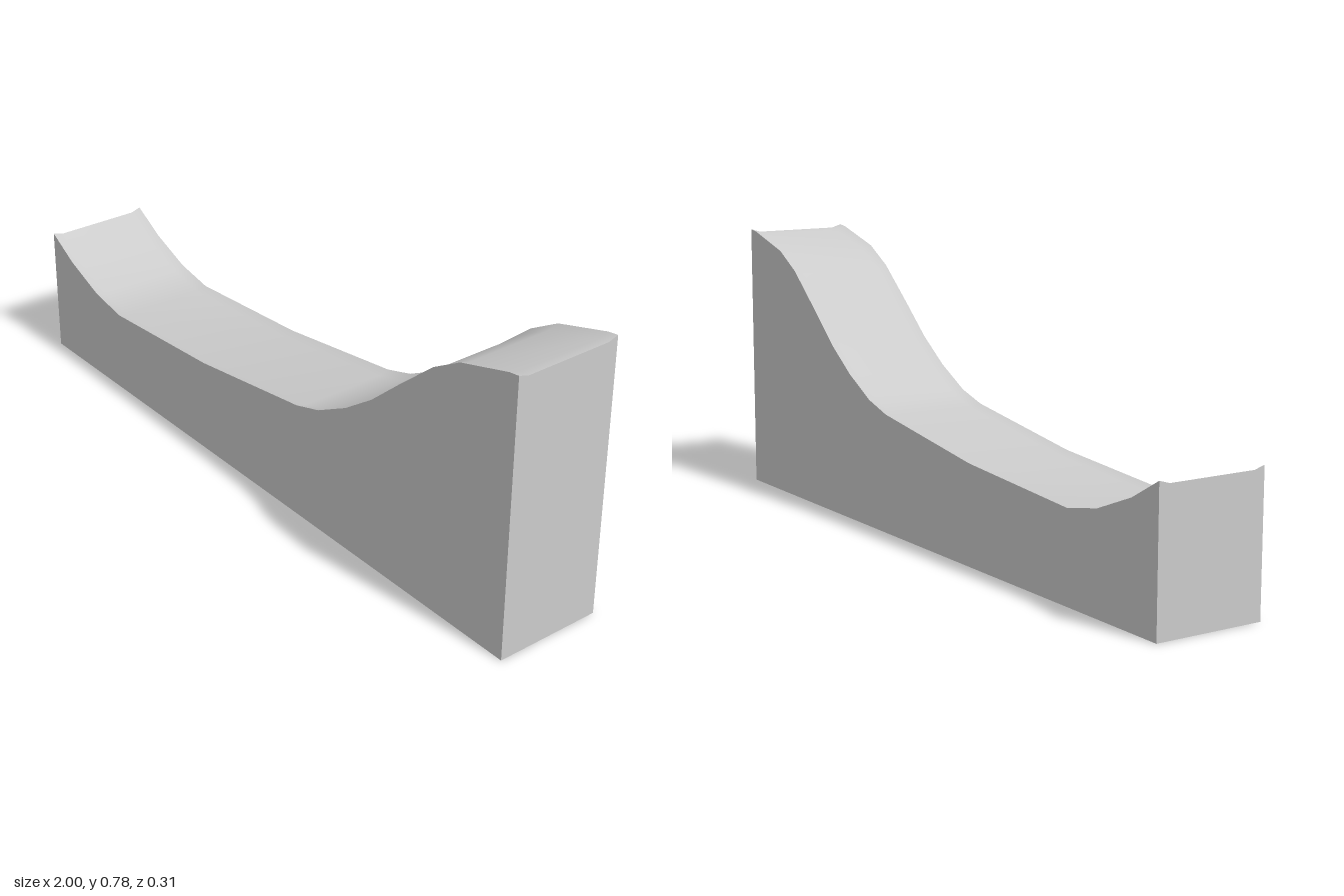
import * as THREE from 'three';

// Outline of the rim along the length: [x, height]
const PROFILE = [
  [-1, 0.378], [-0.9, 0.32], [-0.77, 0.268], [-0.65, 0.245], [-0.22, 0.275],
  [0.2, 0.335], [0.29, 0.362], [0.4, 0.42], [0.5, 0.49], [0.6, 0.578],
  [0.72, 0.68], [0.81, 0.732], [0.97, 0.778], [1, 0.782],
];
// Shallow channel across the width: [z, drop below the rim]
const CHANNEL = [[-0.155, 0], [-0.125, 0.009], [0.125, 0.009], [0.155, 0]];
const HALF = 0.155;

// Smooth surface through rows of points; it faces (along row) x (row to row)
function sheet(name, rows, material) {
  const n = rows[0].length;
  const index = [];
  for (let i = 0; i < rows.length - 1; i++) {
    for (let j = 0; j < n - 1; j++) {
      const a = i * n + j, b = a + 1, c = a + n, d = c + 1;
      index.push(a, b, c, b, d, c);
    }
  }
  const geometry = new THREE.BufferGeometry();
  geometry.setAttribute('position', new THREE.Float32BufferAttribute(rows.flat(2), 3));
  geometry.setIndex(index);
  geometry.computeVertexNormals();
  const mesh = new THREE.Mesh(geometry, material);
  mesh.name = name;
  return mesh;
}

export function createModel() {
  const group = new THREE.Group();
  group.name = 'slopedBlock';
  const material = new THREE.MeshStandardMaterial({ color: 0xcccccc });

  // Curved top with the channel running along it
  const top = PROFILE.map(([x, y]) => CHANNEL.map(([z, drop]) => [x, y - drop, z]));
  group.add(sheet('channelTop', top, material));

  // Flat long sides
  group.add(sheet('frontSide', PROFILE.map(([x, y]) => [[x, y, HALF], [x, 0, HALF]]), material));
  group.add(sheet('backSide', PROFILE.map(([x, y]) => [[x, 0, -HALF], [x, y, -HALF]]), material));

  // Ends, following the channel section
  const end = ([x, y]) => CHANNEL.map(([z, drop]) => [[x, 0, z], [x, y - drop, z]]);
  group.add(sheet('highEnd', end(PROFILE[PROFILE.length - 1]), material));
  group.add(sheet('lowEnd', end(PROFILE[0]).reverse(), material));

  // Flat underside
  group.add(sheet('underside', [-1, 1].map((x) => [[x, 0, HALF], [x, 0, -HALF]]), material));
  return group;
}
